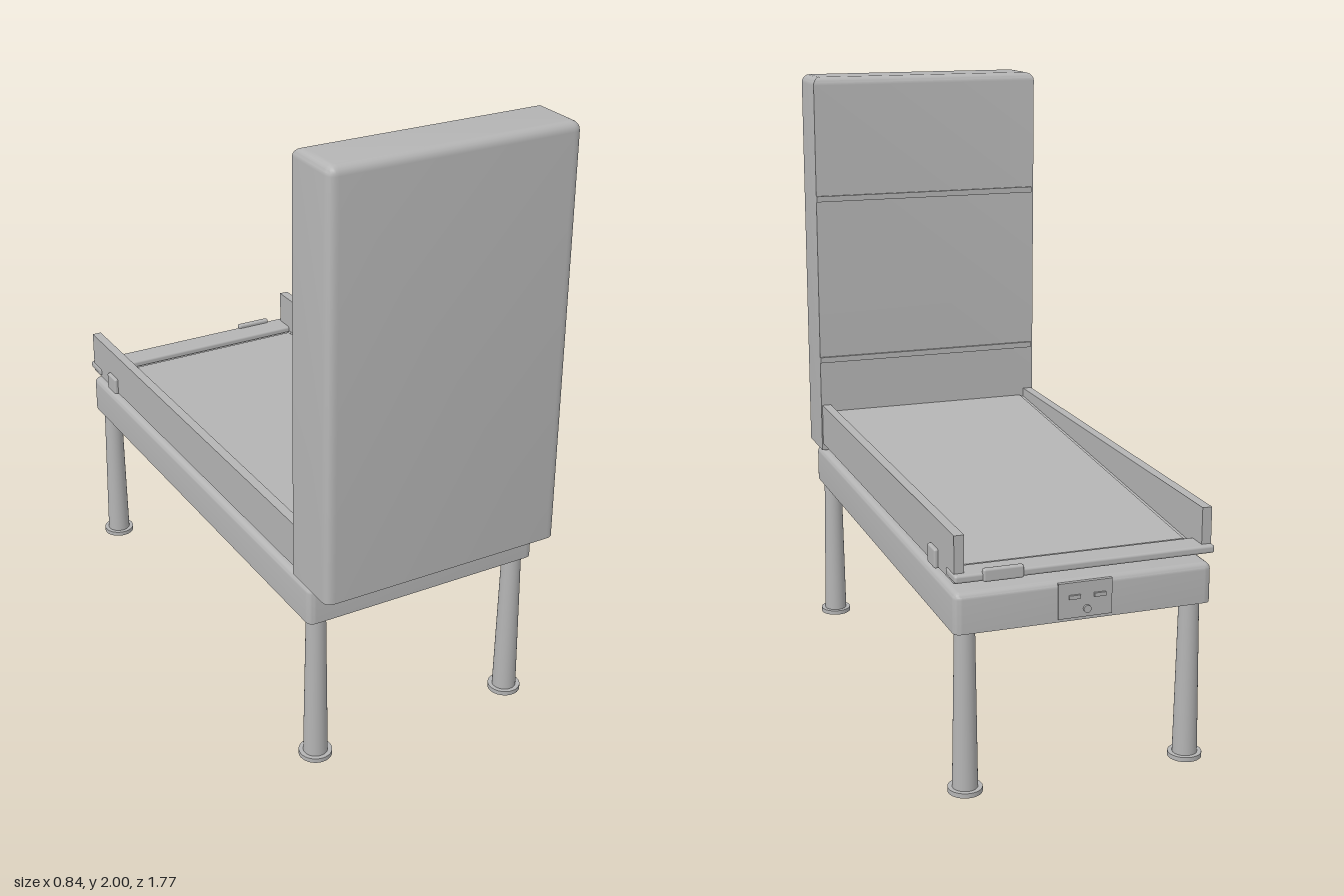
import * as THREE from 'three';
import { toCreasedNormals } from 'three/addons/utils/BufferGeometryUtils.js';
import { RoundedBoxGeometry } from 'three/addons/geometries/RoundedBoxGeometry.js';

export function createModel() {
  const model = new THREE.Group();
  model.name = 'bedFrame';
  const grey = new THREE.MeshStandardMaterial({ color: 0xb4b4b4 });
  grey.name = 'plain grey';

  const add = (name, geometry, x = 0, y = 0, z = 0) => {
    const mesh = new THREE.Mesh(geometry, grey);
    mesh.name = name;
    mesh.position.set(x, y, z);
    model.add(mesh);
    return mesh;
  };

  // box given by its limits on each axis, optionally with soft edges
  const block = (name, [x0, x1], [y0, y1], [z0, z1], r = 0) => {
    const size = [x1 - x0, y1 - y0, z1 - z0];
    const geometry = r ? new RoundedBoxGeometry(...size, 3, r) : new THREE.BoxGeometry(...size);
    return add(name, geometry, (x0 + x1) / 2, (y0 + y1) / 2, (z0 + z1) / 2);
  };

  // upright prism with a rounded top rim, a sharp flat bottom and its own corner radii
  const softSlab = (name, w, [y0, y1], [z0, z1], rim, frontR, backR) => {
    const s = new THREE.Shape();
    s.moveTo(-w + frontR, -z1);
    s.lineTo(w - frontR, -z1);
    s.quadraticCurveTo(w, -z1, w, -z1 + frontR);
    s.lineTo(w, -z0 - backR);
    if (backR) s.quadraticCurveTo(w, -z0, w - backR, -z0);
    s.lineTo(-w + backR, -z0);
    if (backR) s.quadraticCurveTo(-w, -z0, -w, -z0 - backR);
    s.lineTo(-w, -z1 + frontR);
    s.quadraticCurveTo(-w, -z1, -w + frontR, -z1);
    const g = new THREE.ExtrudeGeometry(s, {
      depth: y1 - y0 - rim, curveSegments: 6,
      bevelThickness: rim, bevelSize: rim, bevelOffset: -rim, bevelSegments: 5,
    });
    // flatten the lower bevel into the bottom plane
    const p = g.attributes.position;
    for (let i = 0; i < p.count; i++) p.setZ(i, Math.max(0, p.getZ(i)));
    g.rotateX(-Math.PI / 2);
    return add(name, toCreasedNormals(g, 0.6), 0, y0, 0);
  };

  // main bodies
  softSlab('base', 0.408, [0.52, 0.645], [-0.87, 0.78], 0.02, 0.025, 0.025);
  softSlab('uprightPanel', 0.41, [0.65, 2.0], [0.682, 0.885], 0.028, 0.032, 0);

  // thin ridges across the back of the upright panel
  for (const y of [0.99, 1.575]) block('panelRidge', [-0.4, 0.41], [y - 0.01, y + 0.01], [0.673, 0.69]);

  // deck, rising towards the upright panel
  const side = new THREE.Shape();
  side.moveTo(-0.685, 0.68);
  side.lineTo(0.765, 0.68);
  side.lineTo(0.765, 0.695);
  side.lineTo(-0.67, 0.795);
  side.lineTo(-0.685, 0.795);
  side.closePath();
  const deckGeometry = (width) => {
    const g = new THREE.ExtrudeGeometry(side, { depth: width, bevelEnabled: false });
    g.translate(0, 0, -width / 2);
    return g.rotateY(Math.PI / 2);
  };
  add('deck', deckGeometry(0.72));
  add('deckBorder', deckGeometry(0.755), 0, -0.006, 0);

  // cross bars at the open end
  block('crossBar', [-0.375, 0.375], [0.645, 0.69], [-0.782, -0.765]);
  block('endSill', [-0.41, 0.41], [0.68, 0.705], [-0.88, -0.79], 0.008);
  block('endButton', [0.2, 0.325], [0.678, 0.718], [-0.886, -0.866], 0.007);

  // side rails with outer tabs, and legs
  for (const s of [-1, 1]) {
    const span = (a, b) => (s > 0 ? [a, b] : [-b, -a]);
    block('sideRail', span(0.375, 0.406), [0.675, 0.82], [-0.86, 0.7]);
    block('railTab', span(0.395, 0.418), [0.67, 0.73], [-0.71, -0.64], 0.006);
    for (const z of [-0.815, 0.735]) {
      add('leg', new THREE.CylinderGeometry(0.031, 0.039, 0.51, 32), s * 0.36, 0.27, z);
      add('foot', new THREE.CylinderGeometry(0.053, 0.053, 0.015, 32), s * 0.36, 0.0075, z);
    }
  }

  // control plate with small keys on the rear face of the base
  block('controlPlate', [-0.08, 0.09], [0.53, 0.64], [-0.875, -0.86]);
  for (const x of [-0.04, 0.04]) block('key', [x - 0.018, x + 0.018], [0.59, 0.602], [-0.882, -0.87]);
  const knob = add('knob', new THREE.CylinderGeometry(0.012, 0.012, 0.012, 20), 0, 0.555, -0.876);
  knob.rotation.x = Math.PI / 2;

  return model;
}
